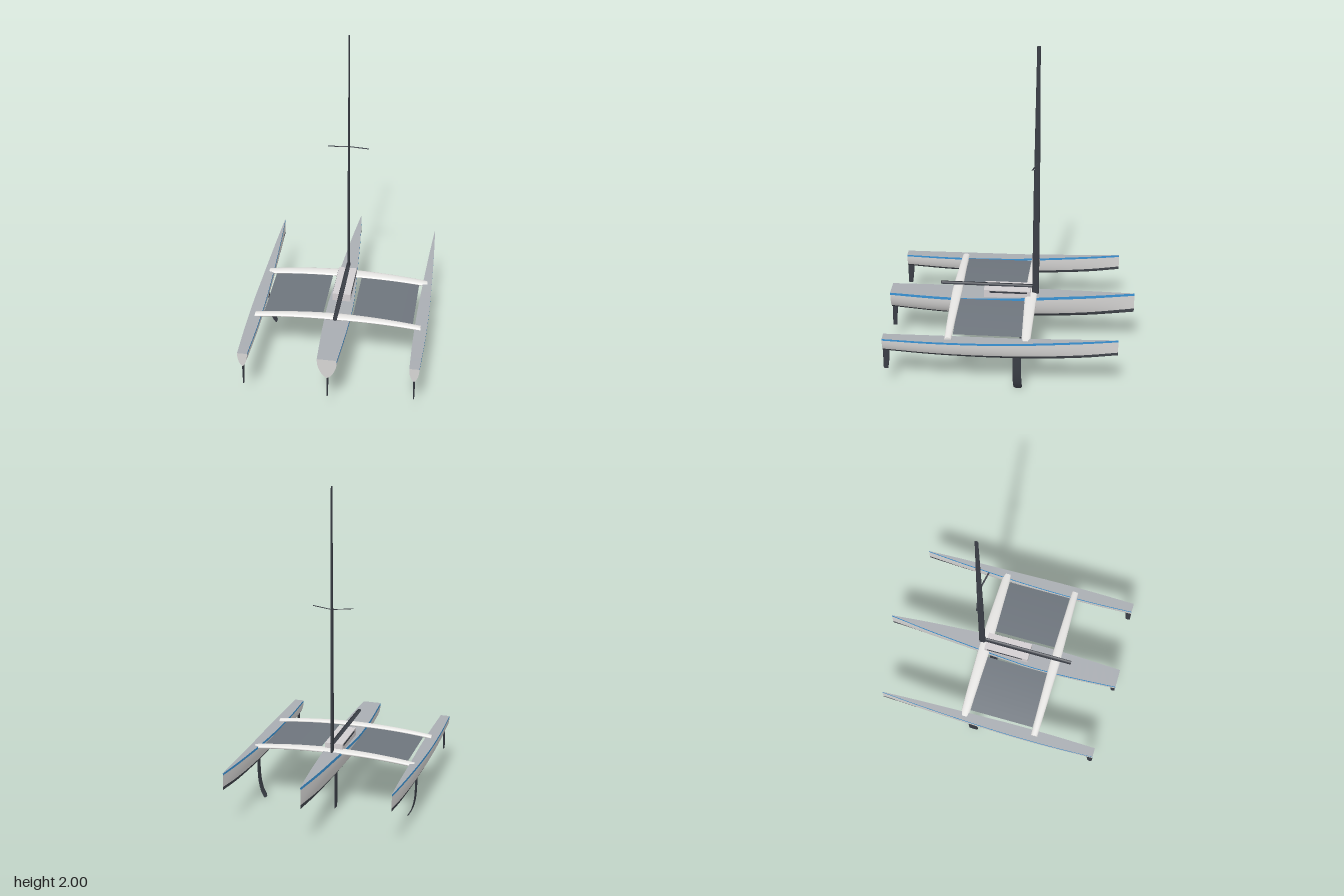
import * as THREE from 'three';

const mat = (name, color, side = THREE.FrontSide) => {
  const m = new THREE.MeshStandardMaterial({ color, side });
  m.name = name;
  return m;
};
const V = (x, y, z) => new THREE.Vector3(x, y, z);

// Skin a list of equally long point rows
function loft(rows) {
  const n = rows[0].length, index = [];
  for (let i = 0; i < rows.length - 1; i++)
    for (let j = 0; j < n - 1; j++) {
      const a = i * n + j, b = a + n;
      index.push(a, b, a + 1, b, b + 1, a + 1);
    }
  const g = new THREE.BufferGeometry().setFromPoints(rows.flat());
  g.setIndex(index);
  g.computeVertexNormals();
  return g;
}

// Capped elliptical sweep; each section is { c: centre, u, v: half axes }
function sweep(sections, sides = 16) {
  const ring = ({ c, u, v }, k = 1) => Array.from({ length: sides + 1 }, (_, j) => {
    const a = (j / sides) * Math.PI * 2;
    return c.clone().addScaledVector(u, k * Math.cos(a)).addScaledVector(v, k * Math.sin(a));
  });
  const first = sections[0], last = sections[sections.length - 1];
  return loft([ring(first, 0), ring(first), ...sections.map((s) => ring(s)), ring(last), ring(last, 0)]);
}

// Upright blade: rows of [x, y, z, half thickness, half chord], lowest first
const blade = (rows) => sweep(rows.map(([x, y, z, t, c]) => ({ c: V(x, y, z), u: V(t, 0, 0), v: V(0, 0, c) })));

export function createModel() {
  const model = new THREE.Group();
  model.name = 'trimaran';
  const white = mat('hull white', 0xd6d5d4);
  const deckGrey = mat('deck grey', 0xa9adb2);
  const blue = mat('stripe blue', 0x3a94d6);
  const bottomPaint = mat('bottom paint', 0x43474e);
  const carbon = mat('carbon', 0x3a3e46);
  const beamWhite = mat('beam white', 0xe6e5e3);
  const netGrey = mat('net grey', 0x6e757d, THREE.DoubleSide);
  const cabinGrey = mat('cabin grey', 0xd2ced0);

  const add = (name, geometry, material, parent = model) => {
    const m = new THREE.Mesh(geometry, material);
    m.name = name;
    parent.add(m);
    return m;
  };

  // Hull from stations [z, half width, sheer height, keel height], bow first
  function hull(name, stations, x0) {
    const g = new THREE.Group();
    g.name = name;
    g.position.x = x0;
    model.add(g);
    const curve = (k) => new THREE.CatmullRomCurve3(stations.map((s) => V(s[1], s[k], s[0])), false, 'catmullrom');
    const sheer = curve(2).getPoints(40), keel = curve(3).getPoints(40);
    const at = (i, t, s) => {
      const w = Math.max(sheer[i].x, 0.0008);
      return V(s * w * Math.pow(Math.max(0, 1 - Math.pow(t, 2.2)), 0.7),
        THREE.MathUtils.lerp(sheer[i].y, keel[i].y, t), sheer[i].z);
    };
    const band = (path) => loft(sheer.map((_, i) => path.map(([t, s]) => at(i, t, s))));
    const steps = (a, b, n) => Array.from({ length: n + 1 }, (_, k) => a + (b - a) * k / n);
    const stripeT = 0.12, waterT = 0.82;
    for (const s of [1, -1]) {
      const order = (ts) => (s > 0 ? ts : ts.reverse()).map((t) => [t, s]);
      add('stripe', band(order(steps(0, stripeT, 2))), blue, g);
      add('topside', band(order(steps(stripeT, waterT, 10))), white, g);
    }
    const low = steps(0, 1, 6).map((q) => 1 - (1 - waterT) * (1 - q) ** 2);
    const under = [...low.map((t) => [t, 1]), ...low.slice(0, -1).reverse().map((t) => [t, -1])];
    add('bottom', band(under), bottomPaint, g);
    add('deck', band([[0, -1], [0, 1]]), deckGrey, g);
    // flat stern
    const ts = [...steps(0, waterT, 10), ...low.slice(1)];
    const outline = [...ts.map((t) => at(40, t, -1)), ...ts.slice(0, -1).reverse().map((t) => at(40, t, 1))];
    const transom = new THREE.ShapeGeometry(new THREE.Shape(outline.map((p) => new THREE.Vector2(p.x, p.y))));
    add('transom', transom, white, g).position.z = sheer[40].z;
  }

  hull('mainHull', [
    [-0.75, 0.001, 0.42, 0.29], [-0.5, 0.027, 0.408, 0.257], [-0.3, 0.043, 0.4, 0.241], [-0.12, 0.057, 0.393, 0.233],
    [0.05, 0.069, 0.388, 0.23], [0.22, 0.077, 0.385, 0.231], [0.45, 0.073, 0.385, 0.238], [0.75, 0.058, 0.39, 0.26],
  ], 0);
  for (const s of [1, -1]) hull(s > 0 ? 'leftFloat' : 'rightFloat', [
    [-0.655, 0.001, 0.402, 0.3], [-0.45, 0.013, 0.388, 0.272], [-0.2, 0.024, 0.373, 0.253], [0, 0.031, 0.364, 0.247],
    [0.2, 0.036, 0.36, 0.246], [0.45, 0.036, 0.358, 0.252], [0.725, 0.029, 0.36, 0.268],
  ], 0.5 * s);

  // Arched cross beams
  const archY = (x) => 0.391 - 0.032 * (x / 0.5) ** 2;
  for (const [name, z, mid, tip] of [['frontBeam', -0.118, 0.038, 0.026], ['rearBeam', 0.339, 0.031, 0.021]]) {
    const sections = [];
    for (let k = -12; k <= 12; k++) {
      const f = Math.abs(k) / 12, x = k / 24;
      sections.push({ c: V(x, archY(x), z), u: V(0, 0, mid + (tip - mid) * f), v: V(0, 0.012, 0) });
    }
    add(name, sweep(sections), beamWhite);
  }

  for (const s of [1, -1]) {
    const side = s > 0 ? 'left' : 'right';
    // Trampoline net following the beams
    const net = [-0.09, 0.315].map((z) => Array.from({ length: 9 }, (_, k) => {
      const x = -0.27 + 0.18 * (k / 4 - 1) + 0.54 * (s > 0);
      return V(x, archY(x) - 0.002, z);
    }));
    add(side + 'Net', loft(net), netGrey);
    // Curved lifting foil
    const path = new THREE.CatmullRomCurve3([
      V(0.456, 0.008, -0.07), V(0.478, 0.05, -0.068), V(0.493, 0.11, -0.066), V(0.499, 0.18, -0.066), V(0.5, 0.3, -0.066)]);
    add(side + 'Foil', blade(path.getPoints(16).map((p, i) => [p.x * s, p.y, p.z, 0.004, i ? 0.026 : 0.02])), carbon);
    add(side + 'Rudder', blade([
      [0.5 * s, 0.14, 0.712, 0.004, 0.014], [0.5 * s, 0.2, 0.708, 0.005, 0.018], [0.5 * s, 0.29, 0.704, 0.006, 0.021]]), carbon);
  }
  add('centreBoard', blade([[0, 0, -0.072, 0.004, 0.024], [0, 0.3, -0.068, 0.005, 0.027]]), carbon);
  add('mainRudder', blade([[0, 0.124, 0.737, 0.004, 0.013], [0, 0.2, 0.735, 0.005, 0.015], [0, 0.29, 0.73, 0.006, 0.017]]), carbon);

  // Cabin with side windows
  add('cabin', new THREE.BoxGeometry(0.11, 0.055, 0.285), cabinGrey).position.set(0, 0.4075, 0.0275);
  for (const s of [1, -1])
    add('cabinWindow', new THREE.BoxGeometry(0.003, 0.011, 0.23), carbon).position.set(s * 0.0555, 0.424, 0.02);

  // Rig: wing mast, swept spreaders and boom
  add('mast', blade([
    [0, 0.39, -0.144, 0.008, 0.021], [0, 1.06, -0.146, 0.007, 0.019],
    [0, 1.5, -0.148, 0.005, 0.015], [0, 2, -0.15, 0.0035, 0.01]]), carbon);
  for (const s of [1, -1]) {
    const ends = [V(0, 1.282, -0.152), V(0.122 * s, 1.29, -0.126)];
    if (s < 0) ends.reverse();
    add('spreader', sweep(ends.map((c) => ({ c, u: V(0, 0, 0.005), v: V(0, 0.002, 0) })), 8), carbon);
  }
  const boom = [[-0.15, 0.012], [0, 0.014], [0.3, 0.014], [0.44, 0.012]];
  add('boom', sweep(boom.map(([z, r]) => ({ c: V(0, 0.446, z), u: V(r, 0, 0), v: V(0, 0.009, 0) }))), carbon);
  return model;
}
